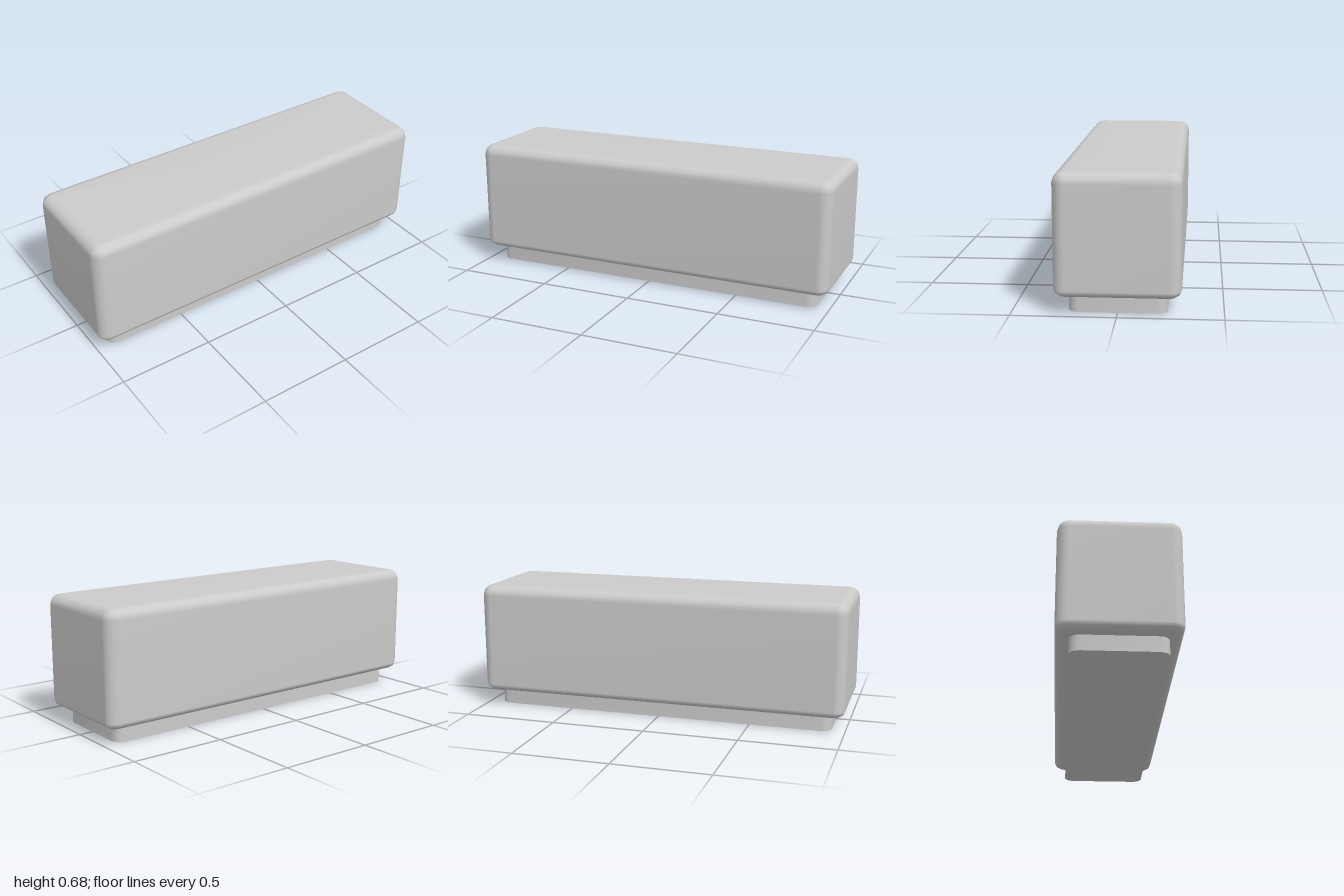
import * as THREE from 'three';
import { toCreasedNormals } from 'three/addons/utils/BufferGeometryUtils.js';

const CORNER_SEGS = 4;

// Rounded rectangle outline, walked from +x towards +z
function outline(hx, hz, r) {
  const pts = [];
  [[1, 1], [-1, 1], [-1, -1], [1, -1]].forEach(([sx, sz], q) => {
    for (let i = 0; i <= CORNER_SEGS; i++) {
      const a = (q + i / CORNER_SEGS) * Math.PI / 2;
      pts.push([sx * (hx - r) + r * Math.cos(a), sz * (hz - r) + r * Math.sin(a)]);
    }
  });
  return pts;
}

// Closed solid through stacked outlines; each level is { y, hx, hz, r }
function loft(levels) {
  const pos = [], index = [];
  const n = 4 * (CORNER_SEGS + 1);
  for (const { y, hx, hz, r } of levels)
    for (const [x, z] of outline(hx, hz, r)) pos.push(x, y, z);
  const top = levels.length - 1, bottomCentre = levels.length * n, topCentre = bottomCentre + 1;
  pos.push(0, levels[0].y, 0, 0, levels[top].y, 0);
  for (let i = 0; i < n; i++) {
    const j = (i + 1) % n;
    for (let k = 0; k < top; k++) {
      const a = k * n + i, b = k * n + j;
      index.push(a, a + n, b, b, a + n, b + n);
    }
    index.push(bottomCentre, i, j, topCentre, top * n + j, top * n + i);
  }
  const geo = new THREE.BufferGeometry();
  geo.setAttribute('position', new THREE.Float32BufferAttribute(pos, 3));
  geo.setIndex(index);
  geo.computeVertexNormals();
  return geo;
}

export function createModel() {
  const group = new THREE.Group();
  const material = new THREE.MeshStandardMaterial({ color: 0xcccccc });
  const add = (name, geo) => {
    const mesh = new THREE.Mesh(geo, material);
    mesh.name = name;
    group.add(mesh);
  };

  // Body: quarter-round upper edge, shallower elliptical lower edge
  const levels = [];
  const steps = 3;
  const level = (y, inset) => levels.push({
    y, hx: 1 - inset, hz: 0.301 - inset, r: Math.max(0.058 - inset, 0.003),
  });
  for (let i = 0; i <= steps; i++) {
    const a = i / steps * Math.PI / 2;
    level(0.12 - 0.04 * Math.cos(a), 0.068 * (1 - Math.sin(a)));
  }
  for (let i = 0; i <= steps; i++) {
    const a = i / steps * Math.PI / 2;
    level(0.621 + 0.055 * Math.sin(a), 0.055 * (1 - Math.cos(a)));
  }
  add('body', loft(levels));

  // Recessed plinth, running slightly up into the body
  const plinth = loft([0, 0.085].map((y) => ({ y, hx: 0.928, hz: 0.235, r: 0.05 })));
  add('plinth', toCreasedNormals(plinth, 0.7));

  return group;
}
